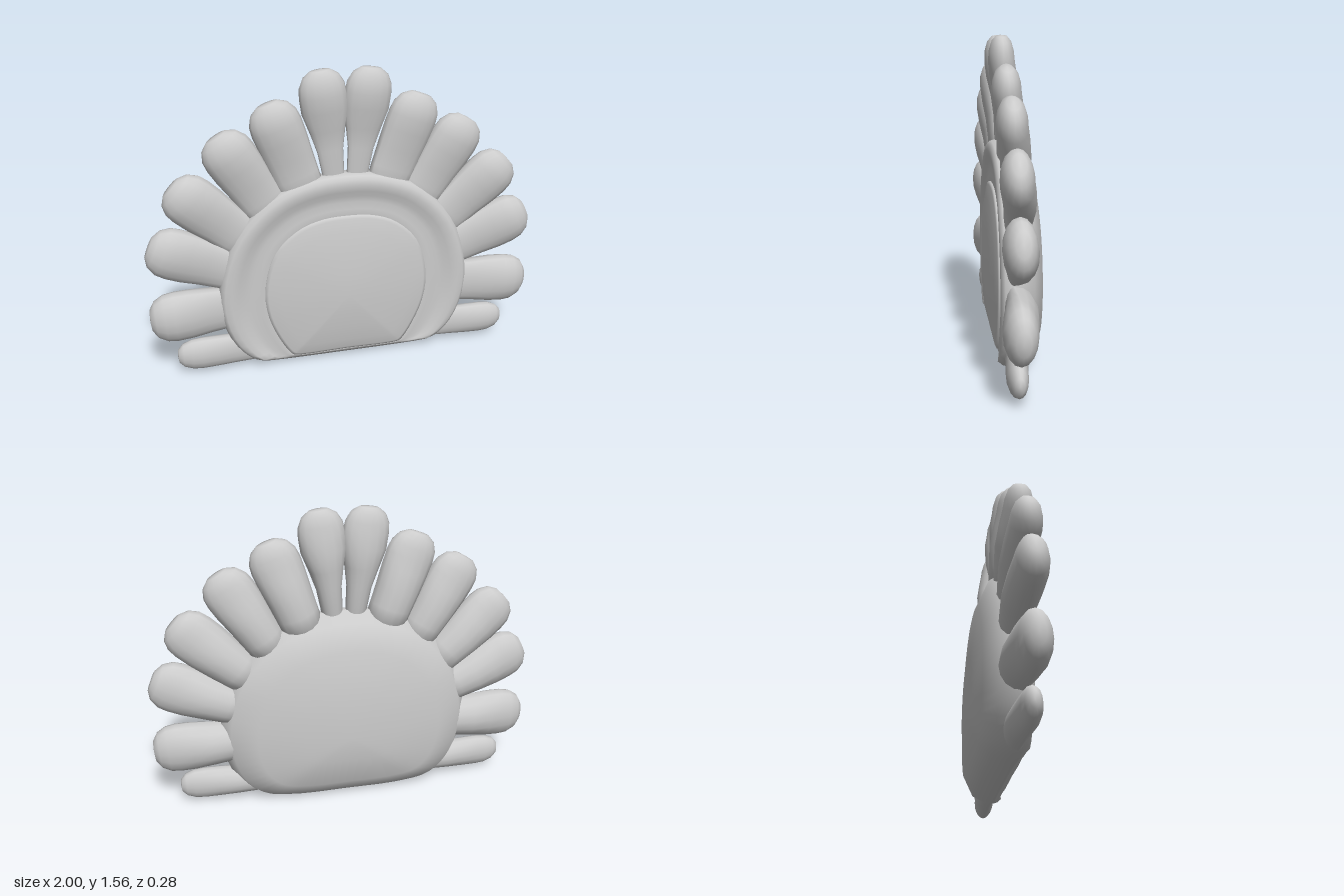
import * as THREE from 'three';
import { mergeVertices } from 'three/addons/utils/BufferGeometryUtils.js';

const material = new THREE.MeshStandardMaterial({ color: 0xcccccc });
const { lerp, smoothstep } = THREE.MathUtils;
const N = 60; // points around the body outline

function smooth(geometry) {
  geometry.deleteAttribute('normal');
  geometry.deleteAttribute('uv');
  const merged = mergeVertices(geometry, 1e-5);
  merged.computeVertexNormals();
  return merged;
}

// Closed outline from its right half, listed bottom to top
function outline(half) {
  const left = half.slice(1, -1).reverse().map(([x, y]) => [-x, y]);
  const pts = [...half, ...left].map(([x, y]) => new THREE.Vector3(x, y, 0));
  const curve = new THREE.CatmullRomCurve3(pts, true, 'centripetal');
  return Array.from({ length: N }, (_, i) => curve.getPoint(i / N));
}

const outer = outline([[0, 0.003], [0.3, 0.006], [0.48, 0.04], [0.585, 0.14], [0.648, 0.32],
  [0.643, 0.52], [0.555, 0.76], [0.375, 0.945], [0.19, 1.022], [0, 1.042]]);
const inner = outline([[0, 0.047], [0.28, 0.047], [0.302, 0.058], [0.365, 0.16], [0.42, 0.31],
  [0.428, 0.47], [0.37, 0.66], [0.25, 0.775], [0.13, 0.82], [0, 0.83]]);
const centre = new THREE.Vector3(0, 0.4, 0);

// Skin a list of rings, each [mix inner to outer, scale about the centre, z]
function loft(rings) {
  const pos = [], index = [];
  rings.forEach(([mix, scale, z], j) => {
    for (let i = 0; i < N; i++) {
      const p = inner[i].clone().lerp(outer[i], mix).sub(centre).multiplyScalar(scale).add(centre);
      // The front slopes back along the foot
      pos.push(p.x, p.y, Math.min(z, 0.045 + 1.2 * p.y));
      if (j === rings.length - 1) continue;
      const a = j * N + i, b = j * N + (i + 1) % N;
      index.push(a, b, a + N, b, b + N, a + N);
    }
  });
  const g = new THREE.BufferGeometry();
  g.setAttribute('position', new THREE.Float32BufferAttribute(pos, 3));
  g.setIndex(index);
  return smooth(g);
}

// Rounded feather from base to tip, its front thinning and its back filling out towards the base
function feather([bx, by, tx, ty, width, base]) {
  const length = Math.hypot(tx - bx, ty - by);
  const profile = [[0, 0], [0.42, 0.004], [0.75, 0.03], [0.95, 0.075], [1, 0.125], [0.985, 0.2],
    [lerp(base, 0.98, 0.6), 0.3], [lerp(base, 0.98, 0.25), 0.4], [base, length - 0.01], [0, length]]
    .reverse().map(([r, d]) => new THREE.Vector2(r * width, length - d));
  const g = new THREE.LatheGeometry(profile, 16);
  const p = g.attributes.position;
  for (let i = 0; i < p.count; i++) {
    const z = p.getZ(i), d = length - p.getY(i);
    const front = lerp(0.56, 0.32, smoothstep(d, 0.1, 0.4));
    const back = lerp(0.55, 0.88, smoothstep(d, 0.08, 0.35));
    p.setZ(i, z * (z > 0 ? front : back));
  }
  const out = smooth(g);
  out.rotateZ(-Math.atan2(tx - bx, ty - by));
  out.translate(bx, by, 0.053);
  return out;
}

export function createModel() {
  const group = new THREE.Group();
  const add = (name, geometry, parent = group) => {
    const mesh = new THREE.Mesh(geometry, material);
    mesh.name = name;
    parent.add(mesh);
  };

  // Shallow domed back, rounded rim and the hollowed border in front
  add('bodyAndBorder', loft([
    [1, 0, -0.143], [1, 0.36, -0.124], [1, 0.73, -0.1], [1, 0.93, -0.045],
    [1, 1, 0.03], [1, 0.998, 0.065], [1, 0.985, 0.09], [1, 0.96, 0.104],
    [0.74, 1, 0.108], [0.58, 1, 0.101], [0.45, 1, 0.09], [0.3, 1, 0.086], [0.12, 1, 0.088],
    [0, 1, 0.09], [0, 0.96, 0.086],
  ]));

  // Gently domed panel set inside the border
  add('frontPanel', loft([
    [0, 0.985, 0.08], [0, 0.985, 0.096], [0, 0.95, 0.102], [0, 0.8, 0.115],
    [0, 0.55, 0.128], [0, 0.28, 0.137], [0, 0, 0.141],
  ]));

  // Fan of feathers: base x, y, tip x, y, half width, base width ratio
  const fan = [
    [0.05, 0.95, 0.124, 1.558, 0.115, 0.42],
    [0.2, 0.93, 0.375, 1.415, 0.125, 0.85],
    [0.36, 0.84, 0.62, 1.275, 0.128, 0.8],
    [0.47, 0.7, 0.845, 1.045, 0.132, 0.8],
    [0.51, 0.54, 0.975, 0.745, 0.135, 0.78],
    [0.5, 0.365, 1, 0.34, 0.136, 0.8],
    [0.42, 0.115, 0.882, 0.112, 0.088, 0.9],
  ];
  for (const side of [1, -1]) {
    const wing = new THREE.Group();
    wing.name = side > 0 ? 'leftFeathers' : 'rightFeathers';
    fan.forEach(([bx, by, tx, ...rest], i) =>
      add(`feather${i + 1}`, feather([bx * side, by, tx * side, ...rest]), wing));
    group.add(wing);
  }
  return group;
}
